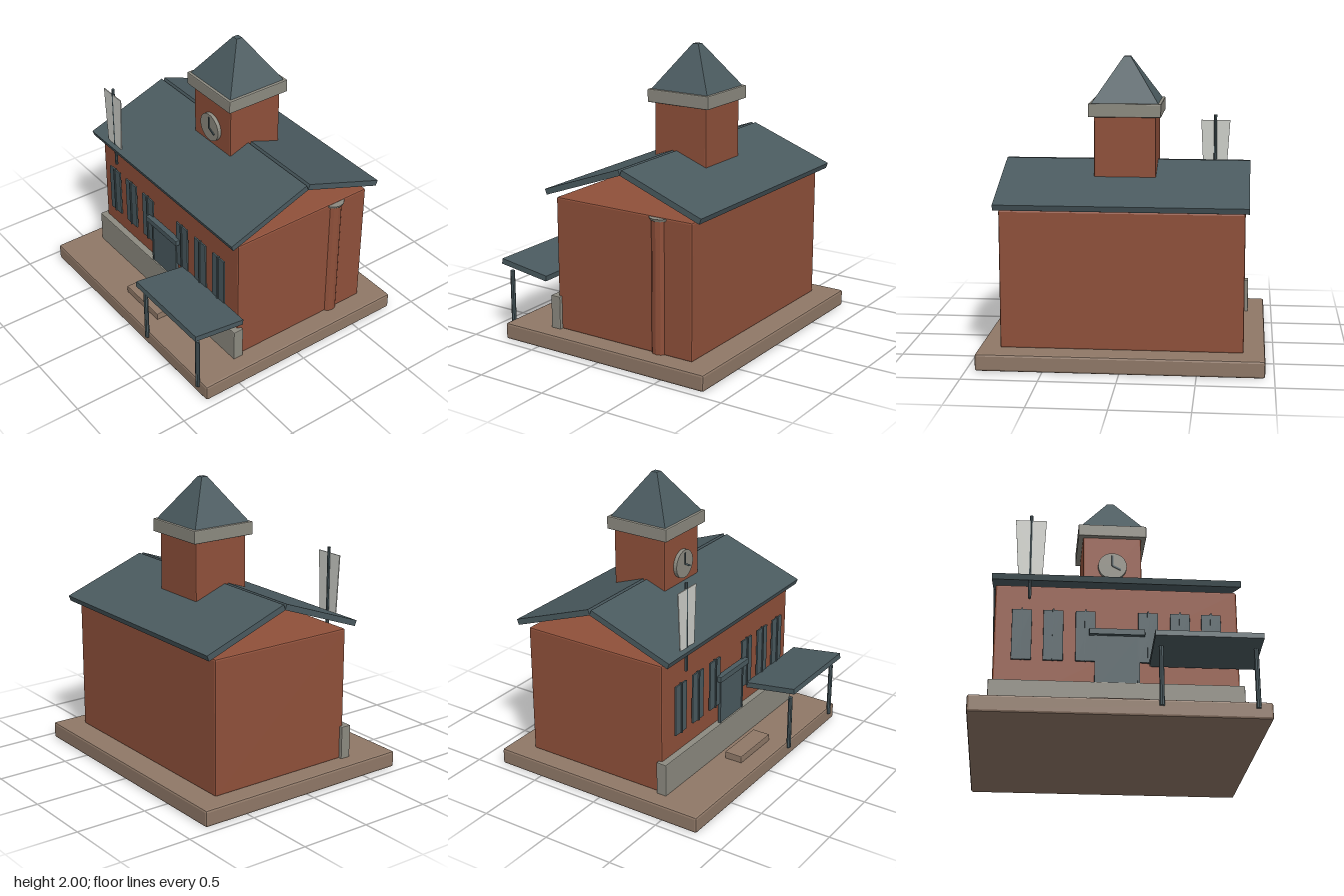
import * as THREE from 'three';
import { RoundedBoxGeometry } from 'three/addons/geometries/RoundedBoxGeometry.js';

const paint = (name, color, side = THREE.FrontSide) => {
  const m = new THREE.MeshStandardMaterial({ color, flatShading: true, side });
  m.name = name;
  return m;
};

export function createModel() {
  const model = new THREE.Group();
  model.name = 'brickHall';
  const brick = paint('brick', 0x8f503a);
  const slate = paint('slate', 0x4a5a5f);
  const stone = paint('stone', 0x8c8a80);
  const paving = paint('paving', 0x8f7867);
  const cloth = paint('cloth', 0xcdcfc9, THREE.DoubleSide);

  const add = (name, geometry, material, x = 0, y = 0, z = 0, parent = model) => {
    const mesh = new THREE.Mesh(geometry, material);
    mesh.name = name;
    mesh.position.set(x, y, z);
    parent.add(mesh);
    return mesh;
  };
  // Box given by its limits on each axis, with an optional small bevel
  const block = (name, material, [x0, x1], [y0, y1], [z0, z1], bevel = 0, parent = model) => {
    const s = [x1 - x0, y1 - y0, z1 - z0];
    const g = bevel ? new RoundedBoxGeometry(...s, 1, bevel) : new THREE.BoxGeometry(...s);
    return add(name, g, material, (x0 + x1) / 2, (y0 + y1) / 2, (z0 + z1) / 2, parent);
  };

  // Ground slab, hall and front plinth
  block('groundSlab', paving, [-0.94, 0.94], [0, 0.115], [-0.83, 0.775], 0.015);
  block('hall', brick, [-0.8, 0.8], [0.11, 1.035], [-0.655, 0.418], 0.012);
  block('plinth', stone, [-0.825, 0.825], [0.11, 0.345], [0.39, 0.465], 0.006);
  block('frontStep', paving, [-0.19, 0.19], [0.11, 0.163], [0.525, 0.655], 0.006);

  // Round pilaster on the left wall
  add('pilaster', new THREE.CylinderGeometry(0.062, 0.062, 0.9, 12), brick, 0.765, 0.565, -0.395);
  add('pilasterCap', new THREE.CylinderGeometry(0.078, 0.07, 0.018, 12), stone, 0.765, 1.02, -0.395);

  // Two roof slabs meeting at the ridge
  for (const [name, z, tilt] of [['frontRoof', 0.185, 0.35], ['backRoof', -0.428, -0.35]]) {
    add(name, new THREE.BoxGeometry(1.65, 0.04, 0.64), slate, 0, 1.174, z).rotation.x = tilt;
  }

  // Clock tower
  const tower = new THREE.Group();
  tower.name = 'clockTower';
  model.add(tower);
  block('towerShaft', brick, [-0.205, 0.205], [1.03, 1.63], [-0.37, 0.04], 0.01, tower);
  block('towerCornice', stone, [-0.24, 0.24], [1.615, 1.705], [-0.405, 0.075], 0.007, tower);
  const spire = new THREE.CylinderGeometry(0.022 * Math.SQRT2, 0.22 * Math.SQRT2, 0.295, 4);
  spire.rotateY(Math.PI / 4);
  add('spire', spire, slate, 0, 1.8525, -0.165, tower);

  const clock = new THREE.CylinderGeometry(0.1, 0.1, 0.03, 32);
  clock.rotateX(Math.PI / 2);
  add('clockFace', clock, stone, 0, 1.385, 0.051, tower);
  for (const [name, length, turn] of [['minuteHand', 0.08, 0], ['hourHand', 0.065, -2.05]]) {
    const hand = new THREE.BoxGeometry(0.012, length, 0.008);
    hand.translate(0, length / 2, 0);
    add(name, hand, slate, 0, 1.385, 0.069, tower).rotation.z = turn;
  }

  // Six windows with centre bars
  for (const side of [-1, 1]) {
    for (const d of [0.205, 0.415, 0.62]) {
      const x = side * d;
      block('window', slate, [x - 0.065, x + 0.065], [0.492, 0.848], [0.437, 0.45], 0.003);
      block('windowBar', slate, [x - 0.006, x + 0.006], [0.49, 0.854], [0.437, 0.458]);
    }
    // Door jambs
    const j = side * 0.139;
    block('doorJamb', slate, [j - 0.007, j + 0.007], [0.345, 0.675], [0.437, 0.458]);
  }
  block('door', slate, [-0.135, 0.135], [0.3, 0.675], [0.437, 0.454]);
  block('doorLintel', slate, [-0.182, 0.182], [0.673, 0.715], [0.437, 0.48], 0.004);

  // Side canopy rising outward, on two posts
  add('canopyRoof', new THREE.BoxGeometry(0.685, 0.038, 0.385), slate, 0.552, 0.511, 0.637)
    .rotation.x = -0.138;
  for (const x of [0.25, 0.847]) {
    add('canopyPost', new THREE.CylinderGeometry(0.016, 0.016, 0.395, 8), slate, x, 0.268, 0.78);
  }

  // Flag pole and tapering banner
  add('flagPole', new THREE.CylinderGeometry(0.011, 0.011, 0.615, 8), slate, -0.575, 1.2325, 0.456);
  const outline = new THREE.Shape([
    [-0.68, 1.5], [-0.655, 1.1], [-0.615, 1.09], [-0.56, 1.098], [-0.493, 1.09], [-0.473, 1.5],
  ].map(([x, y]) => new THREE.Vector2(x, y)));
  add('banner', new THREE.ExtrudeGeometry(outline, { depth: 0.007, bevelEnabled: false }), cloth, 0, 0, 0.457);

  return model;
}
